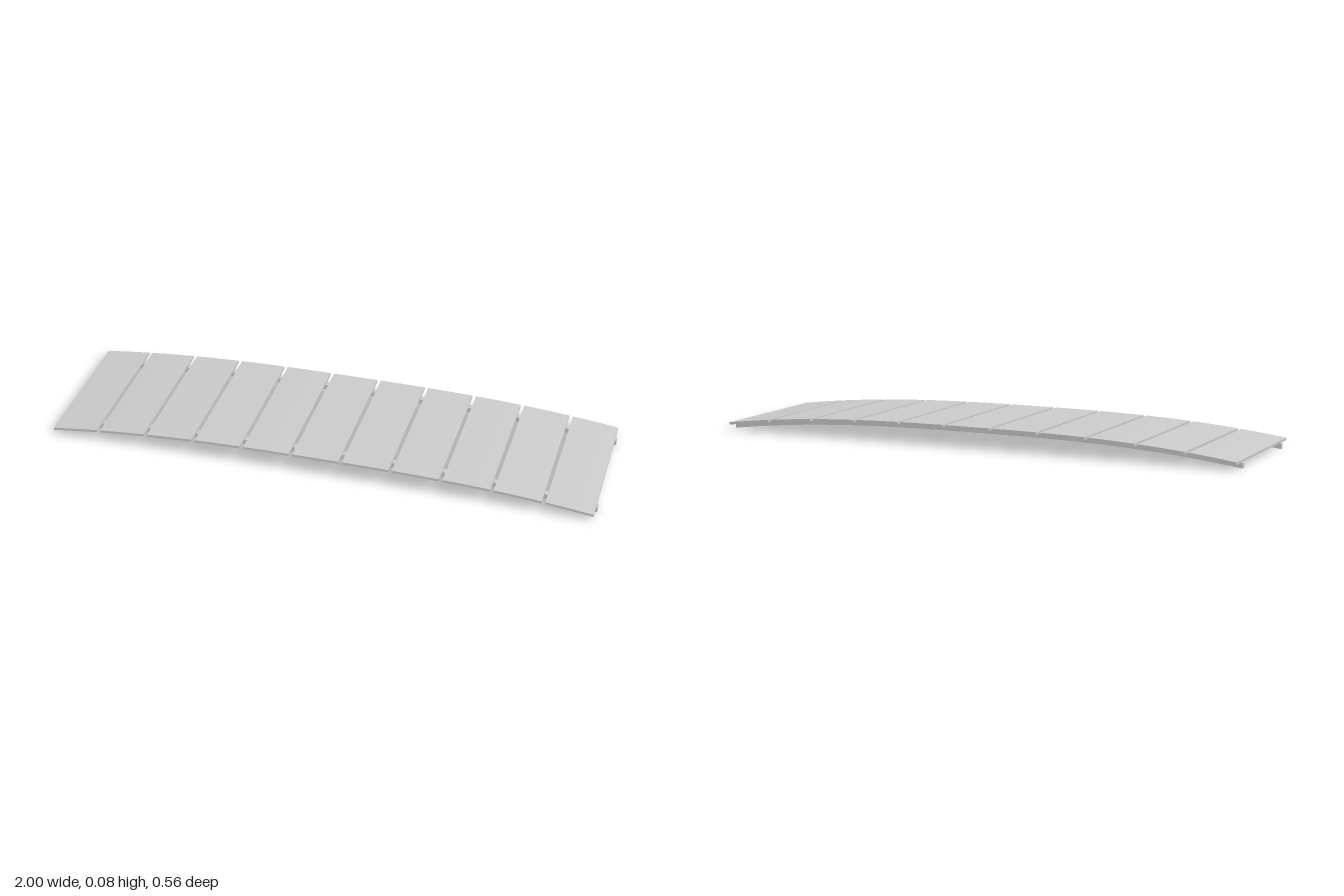
import * as THREE from 'three';

const PLANKS = 11, PITCH = 0.1822, PLANK_W = 0.169;
const RAIL_H = 0.019, PLANK_H = 0.009;

// Height of the arched rail underside above the ground
const rise = (x) => 0.052 * (1 - Math.pow(Math.min(1, Math.abs(x)), 2.7));

// Box whose vertices are lifted to follow the arch
function archedBox(name, material, w, h, d, segments, x, y, z) {
  const geometry = new THREE.BoxGeometry(w, h, d, segments, 1, 1);
  geometry.translate(x, y + h / 2, z);
  const p = geometry.attributes.position;
  for (let i = 0; i < p.count; i++) p.setY(i, p.getY(i) + rise(p.getX(i)));
  geometry.computeVertexNormals();
  const mesh = new THREE.Mesh(geometry, material);
  mesh.name = name;
  return mesh;
}

export function createModel() {
  const model = new THREE.Group();
  model.name = 'archedFootbridge';
  const material = new THREE.MeshStandardMaterial({ color: 0xcccccc });

  // Two arched bearers under the deck
  model.add(archedBox('frontRail', material, 2, RAIL_H, 0.022, 44, 0, 0, 0.209));
  model.add(archedBox('backRail', material, 2, RAIL_H, 0.022, 44, 0, 0, -0.216));

  // Deck planks laid across the bearers with narrow gaps
  const deck = new THREE.Group();
  deck.name = 'deck';
  for (let i = 0; i < PLANKS; i++) {
    const x = (i - (PLANKS - 1) / 2) * PITCH;
    deck.add(archedBox('plank' + (i + 1), material, PLANK_W, PLANK_H, 0.555, 4, x, RAIL_H, 0));
  }
  model.add(deck);
  return model;
}
